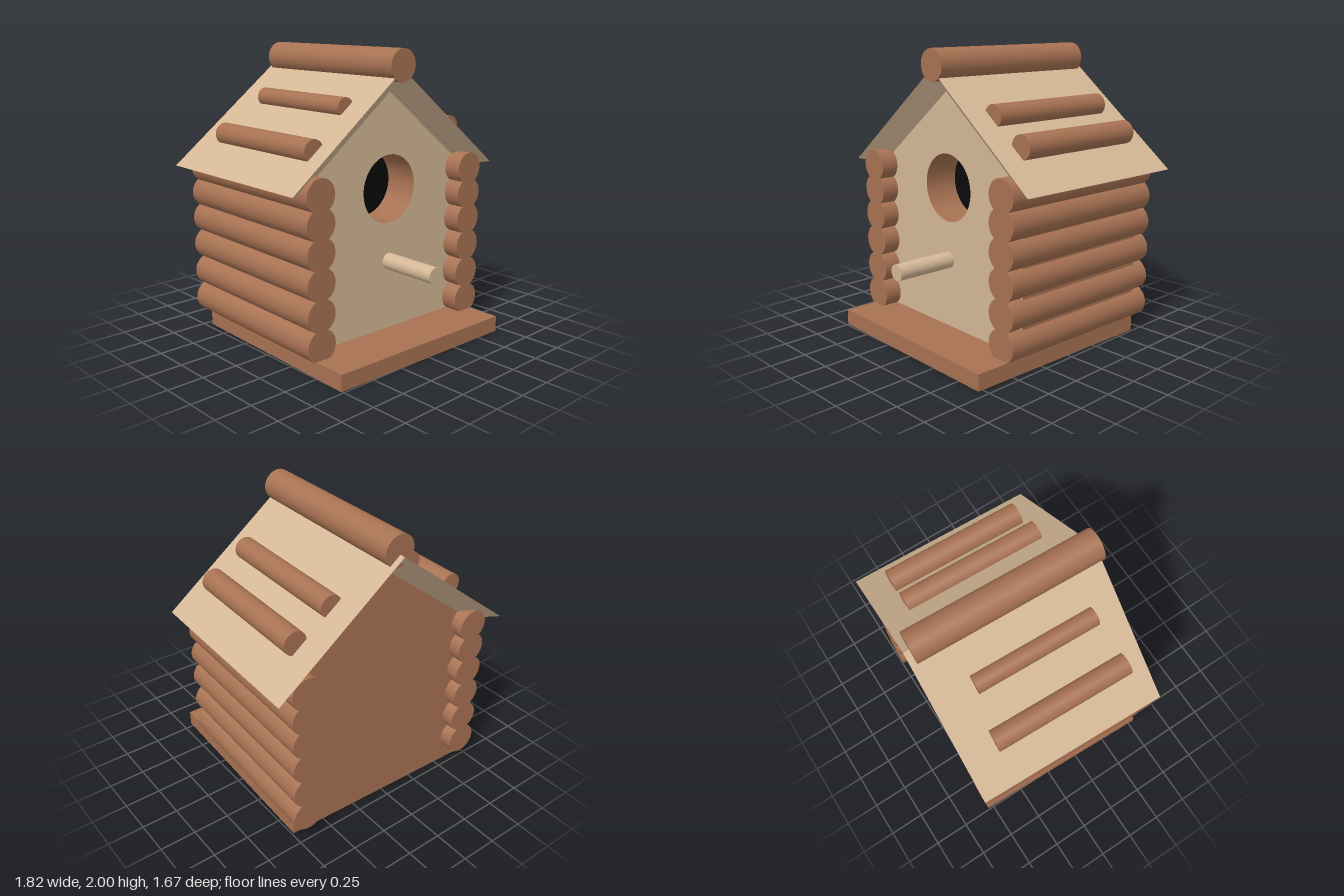
import * as THREE from 'three';

const paint = (name, color) => {
  const m = new THREE.MeshStandardMaterial({ color });
  m.name = name;
  return m;
};

export function createModel() {
  const brown = paint('barkBrown', 0xa87253);
  const tan = paint('paleWood', 0xd4b796);
  const black = paint('darkInside', 0x0a0a0a);

  const model = new THREE.Group();
  model.name = 'birdhouse';
  const house = new THREE.Group();
  house.name = 'house';
  house.rotation.y = -0.034; // the house is turned slightly
  model.add(house);

  const add = (name, geometry, material, x = 0, y = 0, z = 0) => {
    const mesh = new THREE.Mesh(geometry, material);
    mesh.name = name;
    mesh.position.set(x, y, z);
    house.add(mesh);
    return mesh;
  };

  // Round log lying along z
  const log = (name, x, y, r, back, front, material = brown) => {
    const g = new THREE.CylinderGeometry(r, r, front - back, 40);
    g.rotateX(Math.PI / 2);
    return add(name, g, material, x, y, (front + back) / 2);
  };

  const cx = -0.0075;                  // middle of the house
  const front = 0.40, back = -0.68;    // wall planes
  const wall = 0.7225, wallTop = 1.155, peak = 1.72;
  const holeDepth = 0.25;

  // Base board
  add('base', new THREE.BoxGeometry(wall * 2, 0.11, 1.44), brown, cx, 0.055, 0.04);

  // Gabled body: a front block with the entrance hole, and a solid rear block
  const gable = () => new THREE.Shape([
    [-wall, 0.11], [wall, 0.11], [wall, wallTop], [0, peak], [-wall, wallTop],
  ].map(([x, y]) => new THREE.Vector2(x, y)));
  const extrude = (shape, depth) =>
    new THREE.ExtrudeGeometry(shape, { depth, bevelEnabled: false, curveSegments: 32 });

  const frontShape = gable();
  const hole = new THREE.Path();
  hole.absarc(0.006, 1.08, 0.23, 0, Math.PI * 2, true);
  frontShape.holes.push(hole);
  add('frontWall', extrude(frontShape, holeDepth), [tan, brown], cx, 0, front - holeDepth);
  add('rearBody', extrude(gable(), front - holeDepth - back), brown, cx, 0, back);
  add('holeInside', new THREE.CircleGeometry(0.235, 48), black, 0, 1.08, front - holeDepth + 0.002);

  // Perch
  log('perch', -0.002, 0.585, 0.056, front - 0.02, 0.83, tan);

  // Stacked logs on both side walls
  for (const [name, x] of [['leftWallLog', 0.652], ['rightWallLog', -0.683]]) {
    for (const y of [0.2, 0.398, 0.598, 0.79, 0.975, 1.153]) {
      log(name, x, y, 0.11, -0.77, 0.523);
    }
  }

  // Roof: wide upper chevron tapering down to the gable walls
  const chevron = (w, eave, ridge, z) => [[-w, eave, z], [0, ridge, z], [w, eave, z]];
  const of = chevron(0.886, 1.175, 1.87, 0.52);
  const ob = chevron(0.886, 1.175, 1.87, -0.811);
  const inF = chevron(wall, wallTop, peak, front);
  const inB = chevron(wall, wallTop, peak, back);
  const quads = [
    [of[1], of[2], ob[2], ob[1]], [of[0], of[1], ob[1], ob[0]],     // slopes
    [inF[0], inF[1], of[1], of[0]], [inF[1], inF[2], of[2], of[1]], // front bevel
    [ob[0], ob[1], inB[1], inB[0]], [ob[1], ob[2], inB[2], inB[1]], // back bevel
    [of[0], ob[0], inB[0], inF[0]], [ob[2], of[2], inF[2], inB[2]], // eaves
  ];
  const roof = new THREE.BufferGeometry();
  const corners = quads.flatMap(([a, b, c, d]) => [a, b, c, a, c, d]).flat();
  roof.setAttribute('position', new THREE.Float32BufferAttribute(corners, 3));
  roof.computeVertexNormals();
  add('roof', roof, tan, cx);

  // Logs on the roof
  log('ridgeLog', -0.005, 1.893, 0.107, -0.77, 0.521);
  log('leftUpperRoofLog', 0.382, 1.59, 0.075, -0.63, 0.343);
  log('leftLowerRoofLog', 0.636, 1.425, 0.08, -0.625, 0.345);
  log('rightUpperRoofLog', -0.322, 1.637, 0.063, -0.53, 0.331);
  log('rightLowerRoofLog', -0.63, 1.4, 0.075, -0.583, 0.392);

  return model;
}
